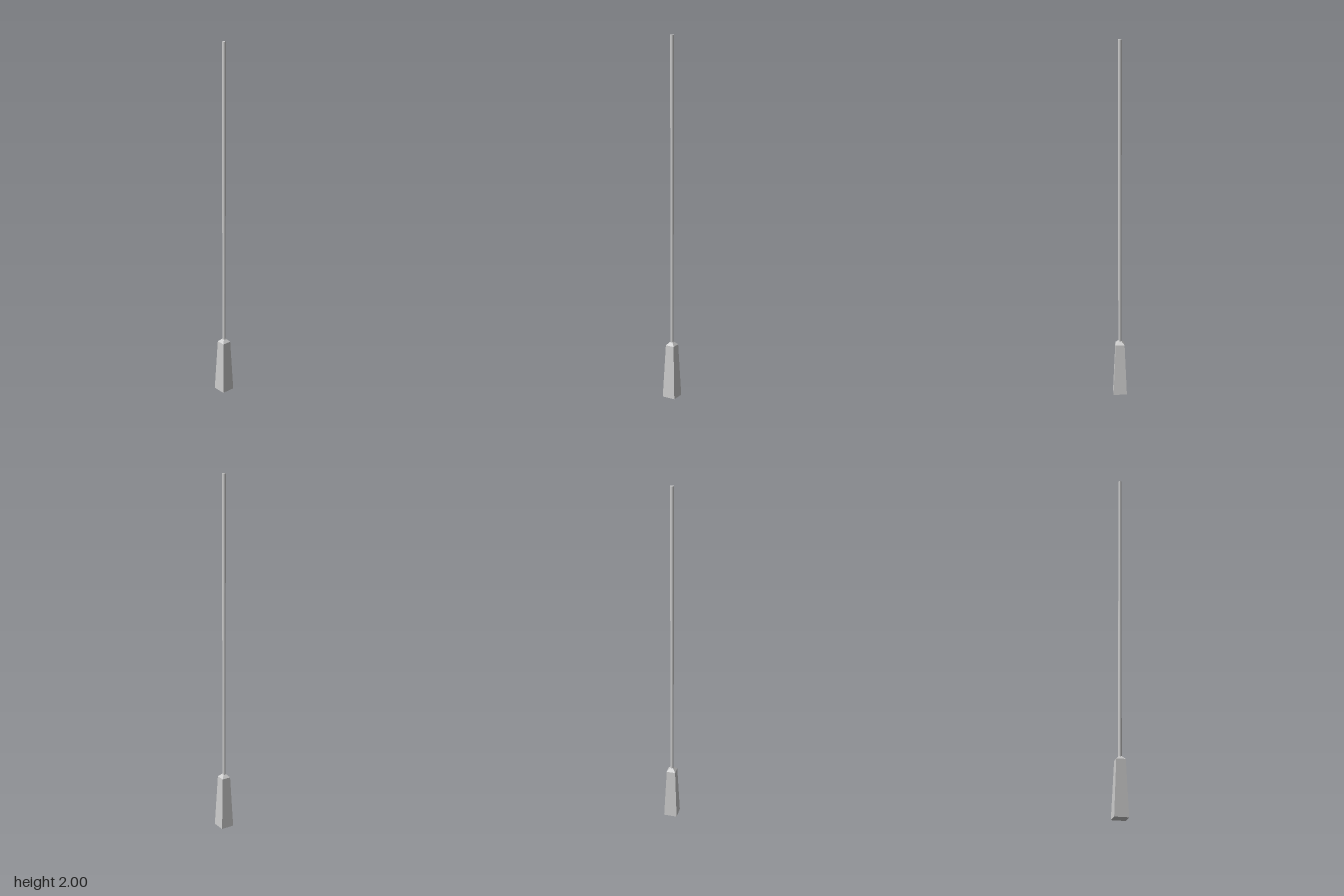
import * as THREE from 'three';

const grey = new THREE.MeshStandardMaterial({ color: 0xcccccc, flatShading: true });
const poleGrey = new THREE.MeshStandardMaterial({ color: 0xcccccc });

// Square tapered block, given half-widths at bottom and top
function taperedBlock(name, bottom, top, y0, y1, openEnded) {
  const geometry = new THREE.CylinderGeometry(
    top * Math.SQRT2, bottom * Math.SQRT2, y1 - y0, 4, 1, openEnded, Math.PI / 4);
  const mesh = new THREE.Mesh(geometry, grey);
  mesh.name = name;
  mesh.position.y = (y0 + y1) / 2;
  return mesh;
}

export function createModel() {
  const group = new THREE.Group();
  group.name = 'pole';

  // Tapered pedestal and its sloping cap
  group.add(taperedBlock('pedestal', 0.038, 0.025, 0, 0.303, false));
  group.add(taperedBlock('pedestalCap', 0.025, 0.007, 0.303, 0.322, true));

  // Slim round shaft
  const y0 = 0.303, y1 = 2, radius = 0.0095;
  const shaft = new THREE.Mesh(new THREE.CylinderGeometry(radius, radius, y1 - y0, 16), poleGrey);
  shaft.name = 'shaft';
  shaft.position.y = (y0 + y1) / 2;
  group.add(shaft);

  return group;
}
